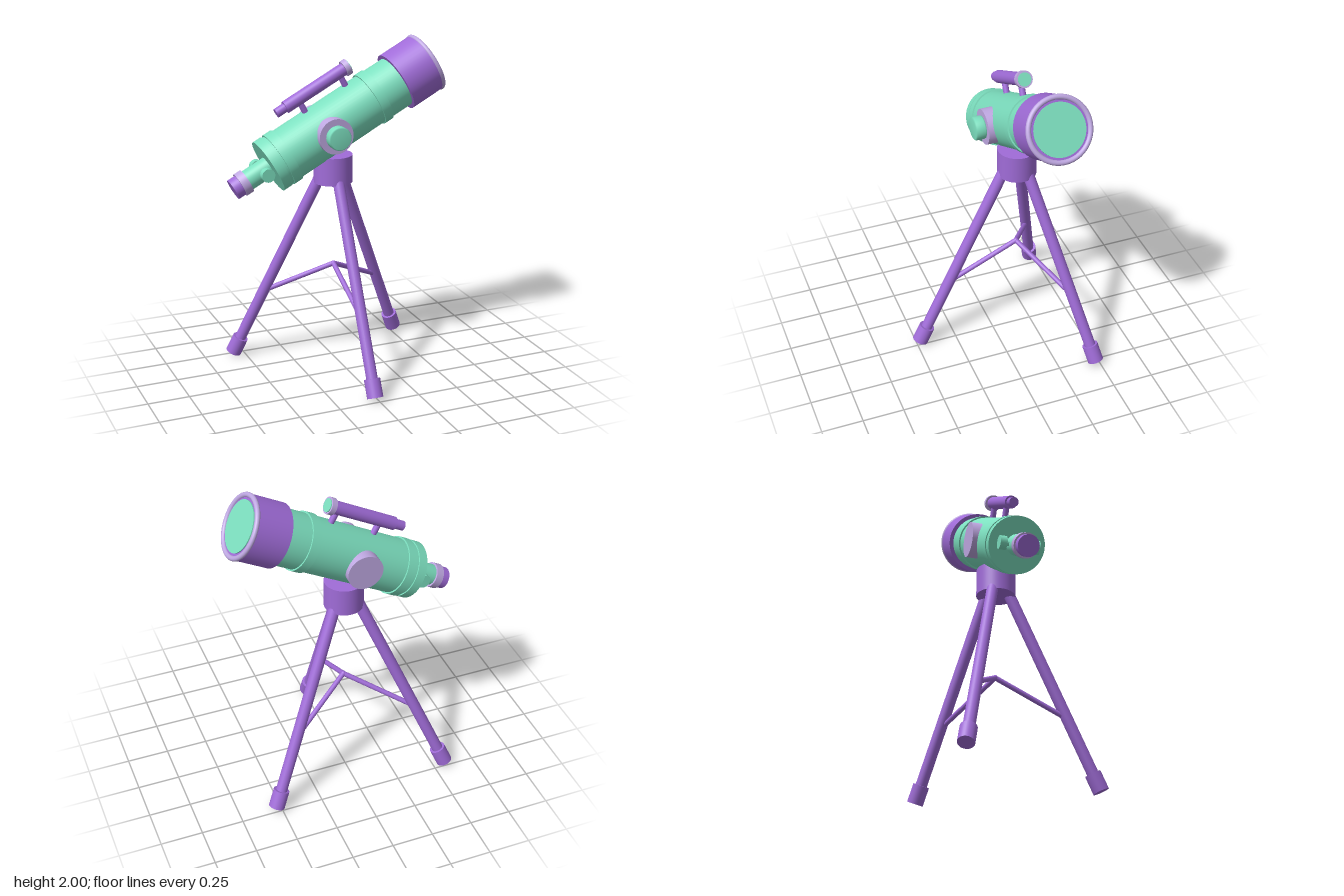
import * as THREE from 'three';

const mint = new THREE.MeshStandardMaterial({ color: 0x7de0c0 });
const purple = new THREE.MeshStandardMaterial({ color: 0xa06cd8 });
const lilac = new THREE.MeshStandardMaterial({ color: 0xbfa8e2 });

const TILT = THREE.MathUtils.degToRad(28);
const DEPTH = -0.158; // z of the tube axis and the tripod centre

function add(parent, name, geometry, material) {
  const mesh = new THREE.Mesh(geometry, material);
  mesh.name = name;
  parent.add(mesh);
  return mesh;
}

// Round rod between two points
function rod(parent, name, a, b, radius, material, segments = 24) {
  const dir = b.clone().sub(a);
  const mesh = add(parent, name, new THREE.CylinderGeometry(radius, radius, dir.length(), segments), material);
  mesh.position.copy(a).addScaledVector(dir, 0.5);
  mesh.quaternion.setFromUnitVectors(new THREE.Vector3(0, 1, 0), dir.normalize());
  return mesh;
}

const v = (x, y, z) => new THREE.Vector3(x, y, z);

// Cylinder along the optical axis (local x), from x0 to x1, raised by y
const along = (parent, name, x0, x1, r, material, y = 0) =>
  rod(parent, name, v(x0, y, 0), v(x1, y, 0), r, material, 48);

// Ring facing along the optical axis
function ring(parent, name, x, y, R, r, material) {
  const mesh = add(parent, name, new THREE.TorusGeometry(R, r, 16, 48), material);
  mesh.position.set(x, y, 0);
  mesh.rotation.y = Math.PI / 2;
}

function createTube() {
  const tube = new THREE.Group();
  tube.name = 'opticalTube';

  // Main barrel with its bands
  along(tube, 'barrel', -0.39, 0.53, 0.16, mint);
  along(tube, 'frontBand', 0.324, 0.38, 0.169, mint);
  along(tube, 'rearCell', -0.4, -0.345, 0.167, mint);
  along(tube, 'rearBand', -0.33, -0.273, 0.169, mint);

  // Dew shield, rim and lens
  along(tube, 'dewShield', 0.52, 0.74, 0.184, purple);
  ring(tube, 'shieldRim', 0.738, 0, 0.175, 0.015, lilac);
  along(tube, 'frontLens', 0.73, 0.746, 0.148, mint);

  // Focuser and eyepiece
  along(tube, 'focuserTube', -0.57, -0.38, 0.062, mint);
  along(tube, 'focuserCollar', -0.598, -0.551, 0.073, lilac);
  along(tube, 'eyepiece', -0.647, -0.59, 0.063, purple);
  rod(tube, 'focusAxle', v(-0.445, 0, -0.1), v(-0.445, 0, 0.1), 0.015, mint);
  for (const s of [-1, 1])
    rod(tube, 'focusKnob', v(-0.445, 0, s * 0.078), v(-0.445, 0, s * 0.118), 0.04, mint);

  // Finder scope on two posts
  const h = 0.251;
  along(tube, 'finderBody', -0.143, 0.29, 0.038, purple, h);
  along(tube, 'finderEyepiece', -0.206, -0.13, 0.028, purple, h);
  along(tube, 'finderRim', 0.272, 0.304, 0.049, lilac, h);
  along(tube, 'finderLens', 0.295, 0.309, 0.039, mint, h);
  for (const x of [-0.052, 0.235])
    rod(tube, 'finderPost', v(x, 0.14, 0), v(x, h, 0), 0.018, purple);

  // Altitude pivot with a locking knob on the front side
  rod(tube, 'pivotDisc', v(0, 0, -0.19), v(0, 0, 0.19), 0.105, lilac, 48);
  const knobProfile = [[0, 0.18], [0.062, 0.18], [0.069, 0.198], [0.069, 0.245], [0.062, 0.253], [0, 0.253]]
    .map(([r, y]) => new THREE.Vector2(r, y));
  add(tube, 'lockKnob', new THREE.LatheGeometry(knobProfile, 40), mint).rotation.x = Math.PI / 2;

  tube.position.set(-0.075, 1.484, DEPTH);
  tube.rotation.z = TILT;
  return tube;
}

function createTripod() {
  const tripod = new THREE.Group();
  tripod.name = 'tripod';
  rod(tripod, 'hub', v(0, 1.16, 0), v(0, 1.328, 0), 0.116, purple, 48);

  // Three splayed legs, the first pointing to the front
  for (let i = 0; i < 3; i++) {
    const leg = new THREE.Group();
    leg.name = 'leg';
    const top = v(0, 1.25, 0.05), bottom = v(0, 0.02, 0.635);
    rod(leg, 'legRod', top, bottom, 0.034, purple);
    rod(leg, 'foot', bottom.clone().lerp(top, 0.082), bottom, 0.048, purple, 32);
    rod(leg, 'brace', v(0, 0.64, 0), v(0, 0.44, 0.435), 0.015, purple, 16);
    leg.rotation.y = (i * 2 * Math.PI) / 3;
    tripod.add(leg);
  }
  add(tripod, 'braceJoint', new THREE.SphereGeometry(0.016, 16, 12), purple).position.y = 0.64;

  tripod.position.set(-0.021, 0, DEPTH);
  return tripod;
}

export function createModel() {
  const model = new THREE.Group();
  model.name = 'telescope';
  model.add(createTube(), createTripod());
  return model;
}
